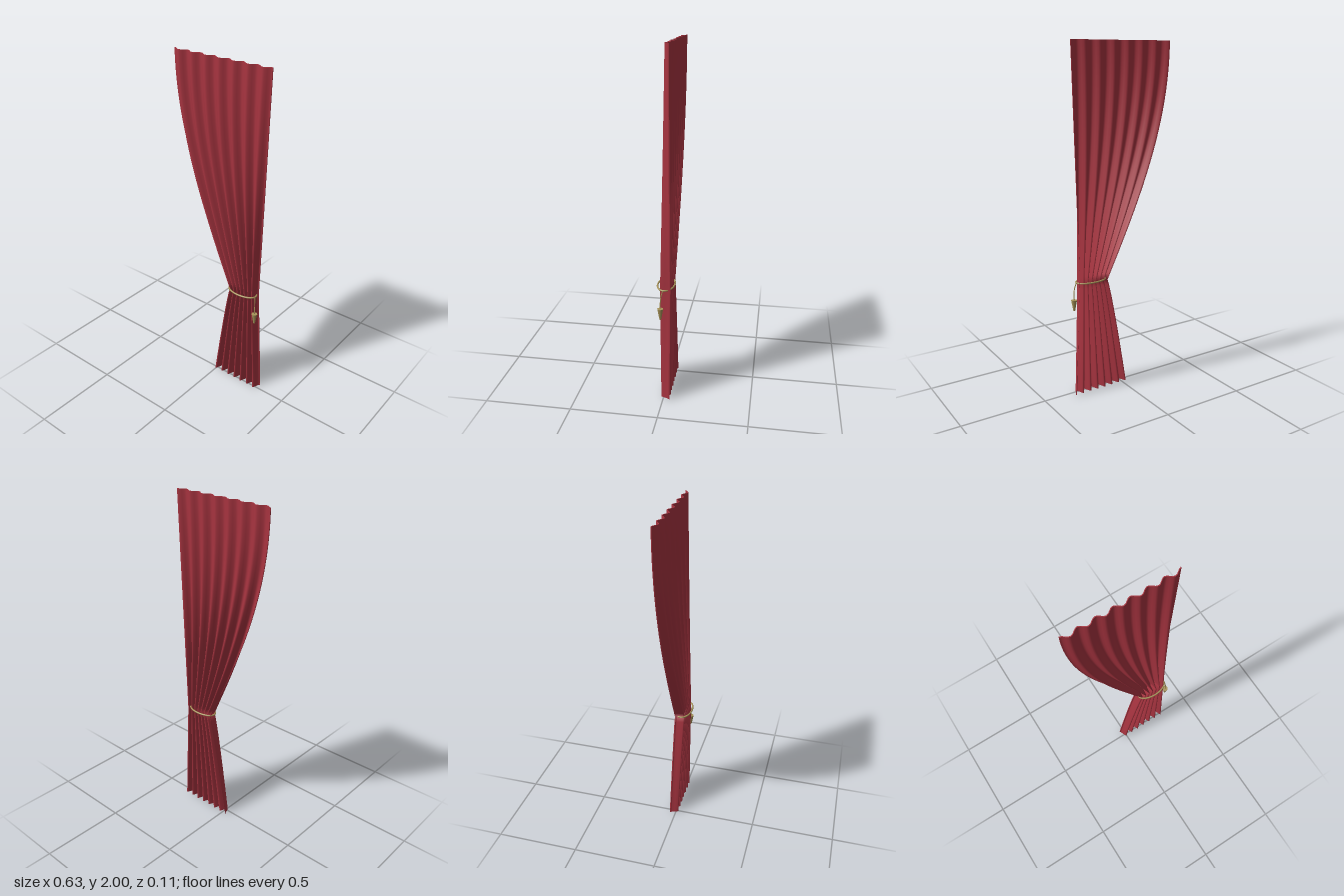
import * as THREE from 'three';
import { ParametricGeometry } from 'three/addons/geometries/ParametricGeometry.js';

const TIE = 2 / 3;      // height of the tieback
const FOLDS = 7;
const THICK = 0.005;
const lerp = THREE.MathUtils.lerp;

// Outline of the gathered cloth at height y
function leftEdge(y) {
  return y > TIE
    ? 0.1 - 0.418 * Math.sin((Math.PI / 2) * (y - TIE) / (2 - TIE))
    : 0.1 - 0.127 * Math.pow(1 - y / TIE, 0.85);
}
function rightEdge(y) {
  return y > TIE ? lerp(0.28, 0.317, (y - TIE) / (2 - TIE)) : lerp(0.315, 0.28, y / TIE);
}
function foldFront(y) {
  return y > TIE ? lerp(0.023, -0.008, (y - TIE) / (2 - TIE)) : lerp(0.014, 0.023, y / TIE);
}

// Point on the cloth: u across, v upward, depth 0 = back face, 1 = front face
function cloth(u, v, depth, target) {
  const y = 2 * v, back = -0.037;
  const swing = foldFront(y) - THICK - back;
  const wave = 0.5 - 0.5 * Math.cos(u * FOLDS * Math.PI * 2);
  return target.set(lerp(leftEdge(y), rightEdge(y), u), y, back + swing * wave + depth * THICK);
}

export function createModel() {
  const model = new THREE.Group();
  const red = new THREE.MeshStandardMaterial({ color: 0xa83440, side: THREE.DoubleSide });
  const gold = new THREE.MeshStandardMaterial({ color: 0xa8945a });
  const add = (name, geometry, material, parent = model) => {
    const mesh = new THREE.Mesh(geometry, material);
    mesh.name = name;
    parent.add(mesh);
    return mesh;
  };

  // Curtain: two pleated faces closed by four narrow edges
  const curtain = new THREE.Group();
  curtain.name = 'curtain';
  model.add(curtain);
  const across = FOLDS * 8, up = 60;
  const sheet = (name, fn, nu, nv) => add(name, new ParametricGeometry(fn, nu, nv), red, curtain);
  sheet('clothFront', (u, v, t) => cloth(u, v, 1, t), across, up);
  sheet('clothBack', (u, v, t) => cloth(1 - u, v, 0, t), across, up);
  sheet('topEdge', (u, v, t) => cloth(u, 1, 1 - v, t), across, 1);
  sheet('bottomHem', (u, v, t) => cloth(u, 0, v, t), across, 1);
  sheet('leftHem', (u, v, t) => cloth(1, v, 1 - u, t), 1, up);
  sheet('rightHem', (u, v, t) => cloth(0, v, u, t), 1, up);

  // Tieback cord: an oval loop around the waist
  const loop = [];
  for (let i = 0; i < 24; i++) {
    const a = (i / 24) * Math.PI * 2;
    loop.push(new THREE.Vector3(0.19 + 0.093 * Math.cos(a), TIE + 0.003, 0.048 * Math.sin(a)));
  }
  add('tiebackCord', new THREE.TubeGeometry(new THREE.CatmullRomCurve3(loop, true), 48, 0.005, 8, true), gold);

  // Hanging cord and tassel
  const hang = new THREE.CatmullRomCurve3([
    new THREE.Vector3(0.281, TIE + 0.003, 0.004),
    new THREE.Vector3(0.287, 0.645, 0.012),
    new THREE.Vector3(0.291, 0.61, 0.017),
    new THREE.Vector3(0.291, 0.555, 0.018),
  ]);
  add('tasselCord', new THREE.TubeGeometry(hang, 12, 0.003, 6), gold);
  const tassel = add('tassel', new THREE.CylinderGeometry(0.017, 0.005, 0.065, 12), gold);
  tassel.position.set(0.291, 0.53, 0.018);

  return model;
}
